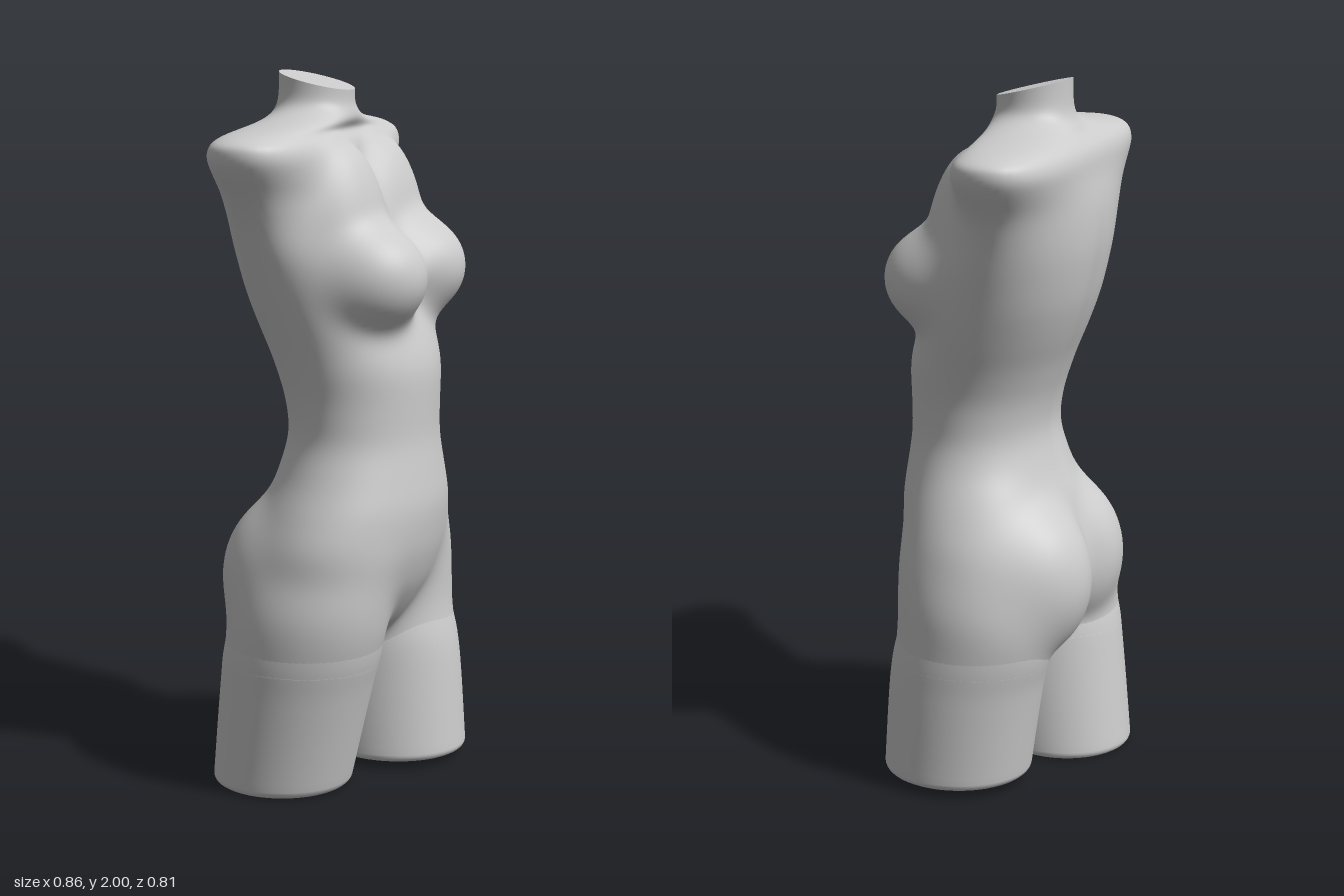
import * as THREE from 'three';

const SEG = 128;
const material = new THREE.MeshStandardMaterial({ color: 0xcccccc });

// Torso sections from crotch to neck: y, centre x, centre z, half width, half depth, roundness exponent
const TORSO = [
  [0.37, -0.012, 0.075, 0.025, 0.045, 2],
  [0.42, -0.014, 0.075, 0.09, 0.12, 2],
  [0.47, -0.016, 0.075, 0.17, 0.165, 2],
  [0.53, -0.018, 0.075, 0.27, 0.205, 2],
  [0.6, -0.022, 0.08, 0.345, 0.237, 2],
  [0.7, -0.025, 0.095, 0.367, 0.252, 2],
  [0.8, -0.025, 0.113, 0.337, 0.247, 2],
  [0.9, -0.025, 0.128, 0.291, 0.224, 2],
  [1.02, -0.023, 0.135, 0.255, 0.204, 2],
  [1.1, -0.022, 0.13, 0.257, 0.21, 2],
  [1.2, -0.018, 0.113, 0.277, 0.225, 2],
  [1.3, -0.012, 0.077, 0.303, 0.23, 2],
  [1.4, -0.01, 0.038, 0.332, 0.225, 2],
  [1.5, -0.01, 0.01, 0.362, 0.217, 2],
  [1.6, -0.012, -0.022, 0.392, 0.193, 2],
  [1.68, -0.018, -0.036, 0.43, 0.175, 2.1],
  [1.75, -0.018, -0.04, 0.478, 0.16, 2.8],
  [1.79, -0.018, -0.042, 0.492, 0.155, 3.4],
  [1.82, -0.018, -0.042, 0.492, 0.145, 3.4],
  [1.84, -0.018, -0.042, 0.46, 0.128, 2.9],
  [1.855, -0.017, -0.032, 0.37, 0.122, 2.3],
  [1.87, -0.016, -0.022, 0.235, 0.122, 2],
  [1.89, -0.015, -0.016, 0.14, 0.115, 2],
  [1.92, -0.014, -0.014, 0.107, 0.106, 2],
  [1.975, -0.014, -0.014, 0.103, 0.105, 2],
];

// Thigh sections: y, centre x, centre z, half width, half depth
const LEFT_THIGH = [
  [0.025, 0.182, 0.148, 0.2, 0.213], [0.3, 0.188, 0.115, 0.2, 0.224],
  [0.5, 0.188, 0.082, 0.204, 0.234], [0.65, 0.175, 0.09, 0.192, 0.227], [0.9, 0.12, 0.11, 0.14, 0.15],
];
const RIGHT_THIGH = [
  [0.003, -0.184, -0.05, 0.192, 0.197], [0.3, -0.204, 0.005, 0.199, 0.218],
  [0.5, -0.214, 0.045, 0.206, 0.232], [0.65, -0.2, 0.065, 0.192, 0.232], [0.9, -0.14, 0.11, 0.14, 0.15],
];

// Soft forms: centre, radii and blend width of mirrored ellipsoids
const FORMS = [];
for (const s of [-1, 1]) {
  FORMS.push({ c: [s * 0.147 - 0.012, 1.455, 0.2], r: [0.16, 0.155, 0.172], k: 0.04 }); // bust
  FORMS.push({ c: [s * 0.135 - 0.012, 1.5, 0.1], r: [0.18, 0.33, 0.145], k: 0.06 }); // upper chest
  FORMS.push({ c: [s * 0.135 - 0.02, 0.6, -0.025], r: [0.2, 0.24, 0.205], k: 0.04 }); // buttock
}

// Monotone interpolation of a section table at height y
function sectionAt(rows, y) {
  const last = rows.length - 1;
  let i = 0;
  while (i < last - 1 && y > rows[i + 1][0]) i++;
  const h = rows[i + 1][0] - rows[i][0];
  const t = THREE.MathUtils.clamp((y - rows[i][0]) / h, 0, 1);
  const slope = (k, n) => (rows[n + 1][k] - rows[n][k]) / (rows[n + 1][0] - rows[n][0]);
  const tangent = (k, n) => {
    if (n === 0) return slope(k, 0);
    if (n === last) return slope(k, last - 1);
    const p = slope(k, n - 1), q = slope(k, n);
    return p * q > 0 ? (2 * p * q) / (p + q) : 0;
  };
  return rows[i].map((v, k) => {
    if (k === 0) return y;
    const t2 = t * t, t3 = t2 * t;
    return v * (2 * t3 - 3 * t2 + 1) + rows[i + 1][k] * (3 * t2 - 2 * t3)
      + h * (tangent(k, i) * (t3 - 2 * t2 + t) + tangent(k, i + 1) * (t3 - t2));
  });
}

// Distance from (ox, oz) along (dx, dz) to the far side of an ellipse, 0 if missed
function rayExit(ox, oz, dx, dz, cx, cz, a, b) {
  const px = (ox - cx) / a, pz = (oz - cz) / b, qx = dx / a, qz = dz / b;
  const A = qx * qx + qz * qz, B = px * qx + pz * qz, C = px * px + pz * pz - 1;
  const D = B * B - A * C;
  return D < 0 ? 0 : Math.max(0, (-B + Math.sqrt(D)) / A);
}

function smoothMax(a, b, k) {
  const h = Math.max(k - Math.abs(a - b), 0) / k;
  return Math.max(a, b) + h * h * k * 0.25;
}

// Average every ring point with its four neighbours, keeping the end rings
function relax(rings, passes) {
  for (let n = 0; n < passes; n++) {
    rings = rings.map((ring, i) => {
      if (i === 0 || i === rings.length - 1) return ring;
      return ring.map((p, j) => new THREE.Vector3()
        .add(rings[i - 1][j]).add(rings[i + 1][j])
        .add(ring[(j + 1) % SEG]).add(ring[(j + SEG - 1) % SEG])
        .multiplyScalar(0.25).lerp(p, 0.4));
    });
  }
  return rings;
}

// Skin of closed rings running upward, with flat sharp-edged caps
function loft(name, rings) {
  const centre = (ring) => {
    const c = ring.reduce((s, p) => s.add(p), new THREE.Vector3()).divideScalar(ring.length);
    return ring.map(() => c);
  };
  const first = rings[0], top = rings[rings.length - 1];
  const strips = [[centre(first), first], rings, [top, centre(top)]];
  const pos = [], index = [];
  for (const strip of strips) {
    const base = pos.length / 3;
    for (const ring of strip) for (const p of ring) pos.push(p.x, p.y, p.z);
    for (let i = 0; i < strip.length - 1; i++) {
      for (let j = 0; j < SEG; j++) {
        const a = base + i * SEG + j, b = base + i * SEG + ((j + 1) % SEG);
        index.push(a, a + SEG, b, b, a + SEG, b + SEG);
      }
    }
  }
  const g = new THREE.BufferGeometry();
  g.setAttribute('position', new THREE.Float32BufferAttribute(pos, 3));
  g.setIndex(index);
  g.computeVertexNormals();
  const mesh = new THREE.Mesh(g, material);
  mesh.name = name;
  return mesh;
}

function makeRing(fn) {
  return Array.from({ length: SEG }, (_, j) => {
    const t = (j / SEG) * Math.PI * 2;
    return fn(Math.cos(t), Math.sin(t));
  });
}

// One torso ring: the base section blended with thighs and soft forms
function torsoRing(y) {
  const [, cx, cz, a, b, n] = sectionAt(TORSO, y);
  const thighs = y < 0.9 ? [LEFT_THIGH, RIGHT_THIGH].map((t) => sectionAt(t, y)) : [];
  return makeRing((dx, dz) => {
    let r = (Math.abs(dx / a) ** n + Math.abs(dz / b) ** n) ** (-1 / n);
    for (const t of thighs) r = smoothMax(r, rayExit(cx, cz, dx, dz, t[1], t[2], t[3], t[4]), 0.03);
    for (const f of FORMS) {
      const v = 1 - ((y - f.c[1]) / f.r[1]) ** 2;
      if (v <= 0) continue;
      const s = Math.sqrt(v);
      r = smoothMax(r, rayExit(cx, cz, dx, dz, f.c[0], f.c[2], f.r[0] * s, f.r[2] * s), f.k);
    }
    // spine groove and the cleft below it
    if (dz < 0) {
      r -= 0.012 * Math.exp(-((dx / 0.16) ** 2) - ((y - 1.2) / 0.36) ** 4);
      r -= 0.03 * Math.exp(-((dx / 0.09) ** 2) - ((y - 0.57) / 0.16) ** 4);
    }
    const x = cx + dx * r, z = cz + dz * r;
    // slanted neck cut
    const tilt = THREE.MathUtils.smoothstep(y, 1.89, 1.975) * 0.24;
    return new THREE.Vector3(x, y - tilt * (z + 0.014), z);
  });
}

function makeTorso() {
  const rings = [];
  for (let i = 0; i < TORSO.length - 1; i++) {
    const y0 = TORSO[i][0], y1 = TORSO[i + 1][0];
    const steps = Math.max(5, Math.round((y1 - y0) / 0.012));
    for (let s = 0; s < steps; s++) rings.push(torsoRing(THREE.MathUtils.lerp(y0, y1, s / steps)));
  }
  rings.push(torsoRing(1.975));
  return loft('torso', relax(rings, 14));
}

// Thigh stump with a softly rounded lower edge, its top hidden in the torso
function makeThigh(name, rows) {
  const y0 = rows[0][0], rings = [];
  const add = (y, scale) => {
    const [, cx, cz, a, b] = sectionAt(rows, y);
    rings.push(makeRing((dx, dz) => new THREE.Vector3(cx + dx * a * scale, y, cz + dz * b * scale)));
  };
  for (let i = 0; i < 5; i++) {
    const t = (i / 5) * Math.PI / 2;
    add(y0 + 0.022 * (1 - Math.cos(t)), 0.9 + 0.1 * Math.sin(t));
  }
  for (let i = 0; i <= 24; i++) {
    const y = THREE.MathUtils.lerp(y0 + 0.022, 0.56, i / 24);
    add(y, 1 - 0.08 * THREE.MathUtils.smoothstep(y, 0.36, 0.56));
  }
  return loft(name, rings);
}

export function createModel() {
  const model = new THREE.Group();
  model.name = 'torsoSculpture';
  model.add(makeTorso(), makeThigh('leftThigh', LEFT_THIGH), makeThigh('rightThigh', RIGHT_THIGH));
  // the figure is turned halfway to its left
  model.rotation.y = Math.PI / 4;
  return model;
}
